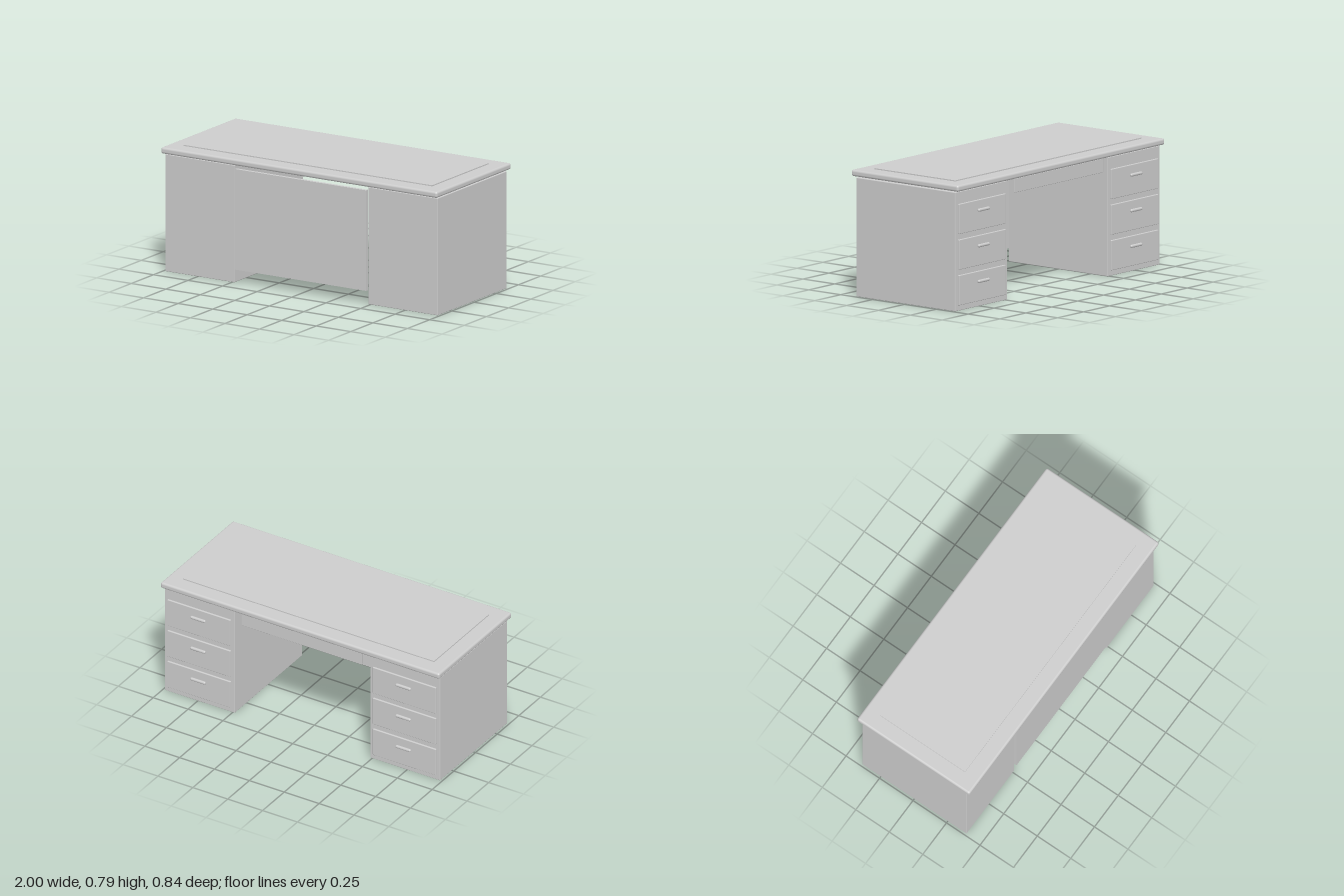
import * as THREE from 'three';
import { RoundedBoxGeometry } from 'three/addons/geometries/RoundedBoxGeometry.js';

export function createModel() {
  const desk = new THREE.Group();
  desk.name = 'desk';
  const grey = new THREE.MeshStandardMaterial({ color: 0xcccccc });
  grey.name = 'light grey';

  // Box given by its lowest and highest corners; a radius rounds its edges
  const block = (name, [x0, y0, z0], [x1, y1, z1], radius = 0, segments = 2) => {
    const size = [x1 - x0, y1 - y0, z1 - z0];
    const geometry = radius
      ? new RoundedBoxGeometry(...size, segments, radius)
      : new THREE.BoxGeometry(...size);
    const mesh = new THREE.Mesh(geometry, grey);
    mesh.name = name;
    mesh.position.set((x0 + x1) / 2, (y0 + y1) / 2, (z0 + z1) / 2);
    return mesh;
  };

  // Top slab with a slightly raised writing surface
  desk.add(block('deskTop', [-1, 0.745, -0.42], [1, 0.785, 0.42], 0.014, 4));
  desk.add(block('writingSurface', [-0.9, 0.78, -0.317], [0.9, 0.792, 0.317]));

  // Panel across the front of the knee space
  desk.add(block('modestyPanel', [-0.475, 0.085, 0.38], [0.475, 0.718, 0.4]));

  // Shallow drawer front above the knee space
  desk.add(block('centreDrawer', [-0.43, 0.655, -0.4], [0.43, 0.743, -0.387], 0.003));

  // Two pedestals, each with three drawers opening at the back
  for (const side of [-1, 1]) {
    const pedestal = new THREE.Group();
    pedestal.name = side > 0 ? 'leftPedestal' : 'rightPedestal';
    pedestal.position.x = side * 0.736;
    pedestal.add(block('cabinet', [-0.251, 0, -0.388], [0.251, 0.738, 0.39], 0.004));
    for (const y of [0.128, 0.349, 0.57]) {
      pedestal.add(block('drawerFront', [-0.226, y - 0.093, -0.4], [0.226, y + 0.093, -0.386], 0.004));
      const handle = new THREE.Mesh(new THREE.CapsuleGeometry(0.01, 0.09, 4, 12), grey);
      handle.name = 'drawerHandle';
      handle.rotation.z = Math.PI / 2;
      handle.position.set(0, y + 0.031, -0.408);
      pedestal.add(handle);
    }
    desk.add(pedestal);
  }
  return desk;
}
